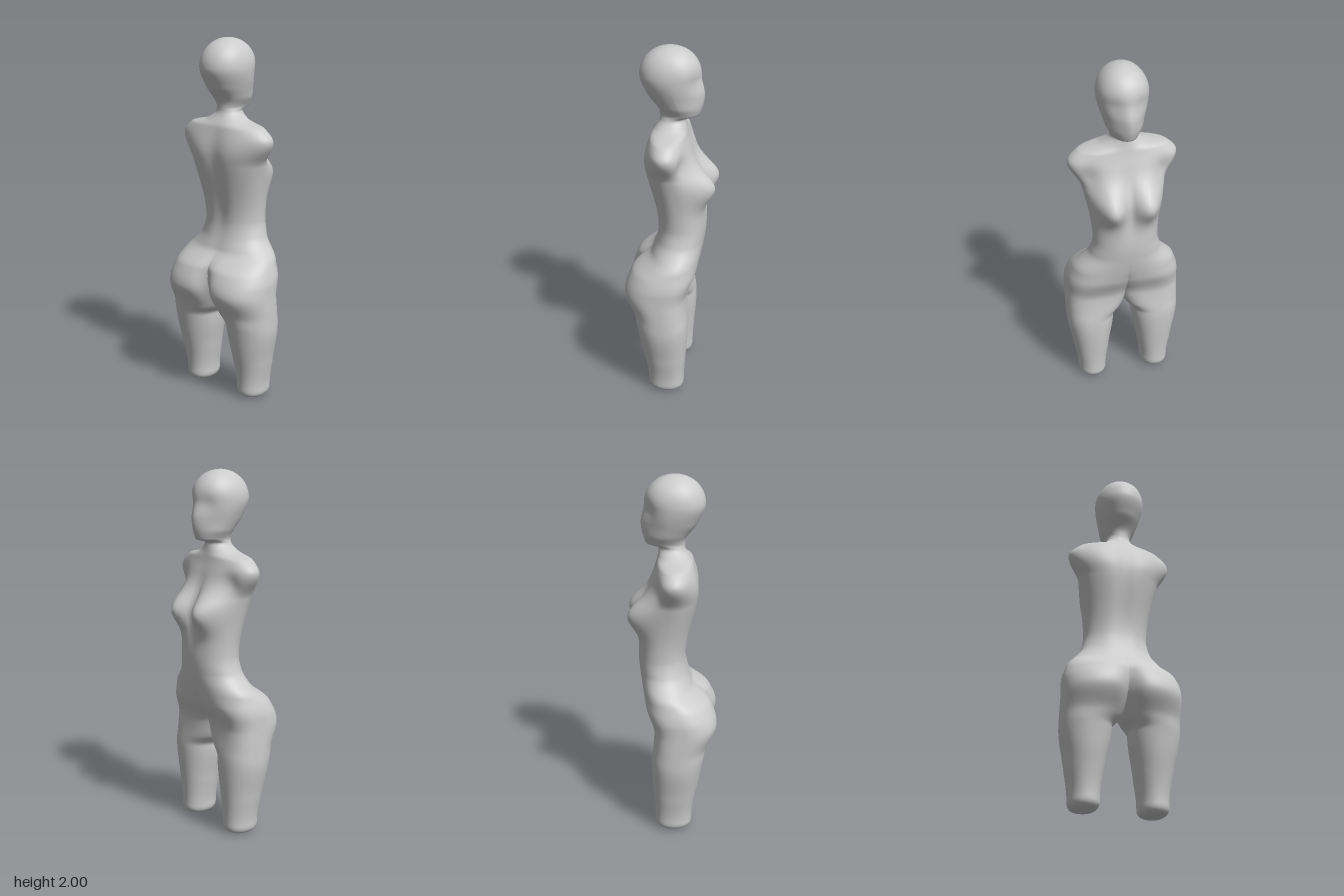
import * as THREE from 'three';

// Outlines as [height, value]: outer edge, centre line, back and front of one side of the body
const OUTER = [[0.06, 0.272], [0.23, 0.296], [0.44, 0.329], [0.68, 0.326], [0.8, 0.292], [0.92, 0.2], [1.01, 0.18],
  [1.33, 0.228], [1.47, 0.297], [1.535, 0.24], [1.565, 0.125], [1.617, 0.069], [1.69, 0.1], [1.85, 0.136]];
const CENTRE = [[0.06, 0.19], [0.44, 0.192], [0.51, 0.166], [0.65, 0.132], [0.75, 0.095], [0.85, 0.02], [0.92, 0]];
const BACK = [[0.06, 0.108], [0.34, 0.155], [0.5, 0.187], [0.64, 0.246], [0.75, 0.21], [0.85, 0.108], [1, 0.077],
  [1.38, 0.138], [1.53, 0.113], [1.62, 0.067], [1.65, 0.069], [1.75, 0.135], [1.85, 0.173]];
const FRONT = [[0.06, -0.095], [0.4, -0.114], [0.6, -0.1], [0.75, -0.15], [1.01, -0.189], [1.24, -0.165],
  [1.45, -0.113], [1.53, -0.09], [1.615, -0.076], [1.635, -0.143], [1.75, -0.17], [1.85, -0.152]];

// Soft modelling: [x, y, x spread, y spread, push, side] (side 1 = back, -1 = front)
const PUSHES = [
  [0.11, 1.255, 0.062, 0.072, 0.1, -1], // breasts
  [0, 1.28, 0.018, 0.11, -0.015, -1],   // cleavage
  [0.2, 1.4, 0.035, 0.05, -0.028, -1],  // armpit hollow
  [0, 1.2, 0.035, 0.2, -0.016, 1],      // spine
  [0.13, 1.4, 0.06, 0.08, 0.01, 1],     // shoulder blades
  [0, 0.63, 0.03, 0.09, -0.035, 1],     // cleft
  [0.07, 1.81, 0.03, 0.05, -0.014, -1], // eye planes
];

const SIDES = 64;
const LEG_END = 0.06; // height of the rounded stump
const CROWN = 1.85;   // start of the skull dome
const bell = (value, middle, spread) => Math.exp(-(((value - middle) / spread) ** 2) / 2);

// Smooth curve through an outline without overshoot
function along(outline, y) {
  const last = outline.length - 1;
  if (y <= outline[0][0]) return outline[0][1];
  if (y >= outline[last][0]) return outline[last][1];
  const i = outline.findIndex((p) => p[0] > y) - 1;
  const rise = (k) => (outline[k + 1][1] - outline[k][1]) / (outline[k + 1][0] - outline[k][0]);
  const slope = (k) => {
    if (k === 0 || k === last) return 0;
    const a = rise(k - 1);
    const b = rise(k);
    return a * b > 0 ? (2 * a * b) / (a + b) : 0;
  };
  const width = outline[i + 1][0] - outline[i][0];
  const u = (y - outline[i][0]) / width;
  const u2 = u * u;
  const u3 = u2 * u;
  return outline[i][1] * (2 * u3 - 3 * u2 + 1) + outline[i + 1][1] * (3 * u2 - 2 * u3)
    + width * (slope(i) * (u3 - 2 * u2 + u) + slope(i + 1) * (u3 - u2));
}

// Row heights: close together in the rounded ends, even between them
function rowHeights() {
  const heights = [];
  for (let i = 0; i < 10; i++) heights.push(LEG_END * (1 - Math.cos((i / 10) * Math.PI / 2)));
  for (let i = 0; i < 240; i++) heights.push(LEG_END + (CROWN - LEG_END) * (i / 240));
  for (let i = 0; i <= 14; i++) heights.push(CROWN + (2 - CROWN) * Math.sin((i / 14) * Math.PI / 2));
  return heights;
}

// Rounds off the leg stumps and the skull
function endScale(y) {
  if (y < LEG_END) return Math.max(0, 1 - ((LEG_END - y) / LEG_END) ** 3) ** (1 / 3);
  if (y > CROWN) return Math.sqrt(Math.max(0, 1 - ((y - CROWN) / (2 - CROWN)) ** 2));
  return 1;
}

function surfacePoint(y, angle) {
  const c = Math.cos(angle);
  const s = Math.sin(angle);
  const centre = along(CENTRE, y);
  const back = along(BACK, y);
  const front = along(FRONT, y);
  const scale = endScale(y);
  // The front is fuller at the groin and narrows to a ridge on the face
  const roundness = s > 0 ? 2.1 : 2.2 + 0.7 * bell(y, 0.61, 0.1) - 0.6 * bell(y, 1.72, 0.08);
  const bend = (v) => Math.sign(v) * Math.abs(v) ** (2 / roundness);
  const x = centre + (along(OUTER, y) - centre) * scale * bend(c);
  let z = (back + front) / 2 + ((back - front) / 2) * scale * bend(s);
  for (const [px, py, sx, sy, push, side] of PUSHES) {
    z += side * push * bell(Math.abs(x), px, sx) * bell(y, py, sy) * Math.max(0, s * side) ** 0.5;
  }
  return [x, y, z];
}

// One mirrored half; normals are taken before trimming at the centre plane so the halves join smoothly
function buildHalf(side) {
  const heights = rowHeights();
  const positions = [];
  const triangles = [];
  heights.forEach((y, r) => {
    for (let k = 0; k < SIDES; k++) {
      const [x, , z] = surfacePoint(y, (k / SIDES) * Math.PI * 2);
      positions.push(x * side, y, z);
      if (r === heights.length - 1) continue;
      const a = r * SIDES + k;
      const b = r * SIDES + ((k + 1) % SIDES);
      const c = a + SIDES;
      const d = b + SIDES;
      if (side > 0) triangles.push([a, c, b], [b, c, d]);
      else triangles.push([a, b, c], [b, d, c]);
    }
  });
  const geometry = new THREE.BufferGeometry();
  geometry.setAttribute('position', new THREE.Float32BufferAttribute(positions, 3));
  geometry.setIndex(triangles.flat());
  geometry.computeVertexNormals();

  const position = geometry.attributes.position;
  const outside = Array.from({ length: position.count }, (_, v) => position.getX(v) * side > 1e-5);
  outside.forEach((keep, v) => {
    if (!keep) position.setX(v, 0);
  });

  // Cuts out the rows between two heights as a part of its own
  return (from, to) => {
    const part = triangles.filter((corners) => {
      const y = Math.min(...corners.map((v) => position.getY(v)));
      return y >= from && y < to && corners.some((v) => outside[v]);
    });
    const piece = geometry.clone();
    piece.setIndex(part.flat());
    return piece.toNonIndexed();
  };
}

export function createModel() {
  const model = new THREE.Group();
  model.name = 'mannequin';
  const material = new THREE.MeshStandardMaterial({ color: 0xcccccc });
  const parts = [['Leg', 0, 0.51], ['Hip', 0.51, 0.92], ['Torso', 0.92, 1.57], ['Neck', 1.57, 1.62], ['Head', 1.62, 2]];
  for (const [label, side] of [['left', 1], ['right', -1]]) {
    const cut = buildHalf(side);
    for (const [name, from, to] of parts) {
      const mesh = new THREE.Mesh(cut(from, to), material);
      mesh.name = label + name;
      model.add(mesh);
    }
  }
  return model;
}
